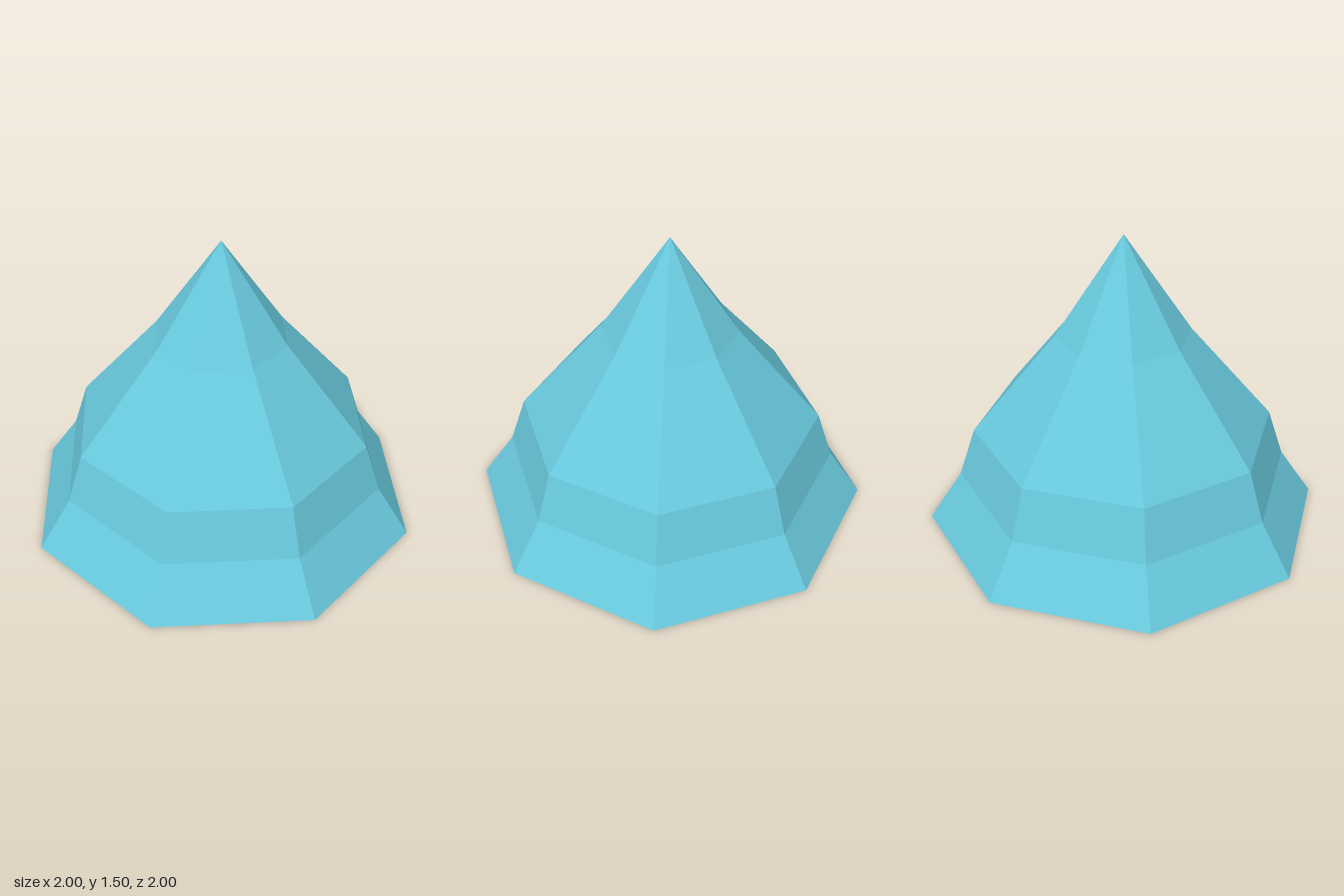
import * as THREE from 'three';

export function createModel() {
  const model = new THREE.Group();
  model.name = 'facetedCone';

  const material = new THREE.MeshStandardMaterial({ color: 0x68c8dc, flatShading: true });
  material.name = 'lightTurquoise';

  // Radius and height of each ring, from the centre of the base up to the tip
  const profile = [
    [0, 0], [1, 0], [0.833, 0.25], [0.75, 0.5], [0.333, 1], [0, 1.5],
  ].map(([r, y]) => new THREE.Vector2(r, y));

  // Eight-sided stepped cone with a closed base
  const cone = new THREE.Mesh(new THREE.LatheGeometry(profile, 8), material);
  cone.name = 'coneBody';
  model.add(cone);

  return model;
}
